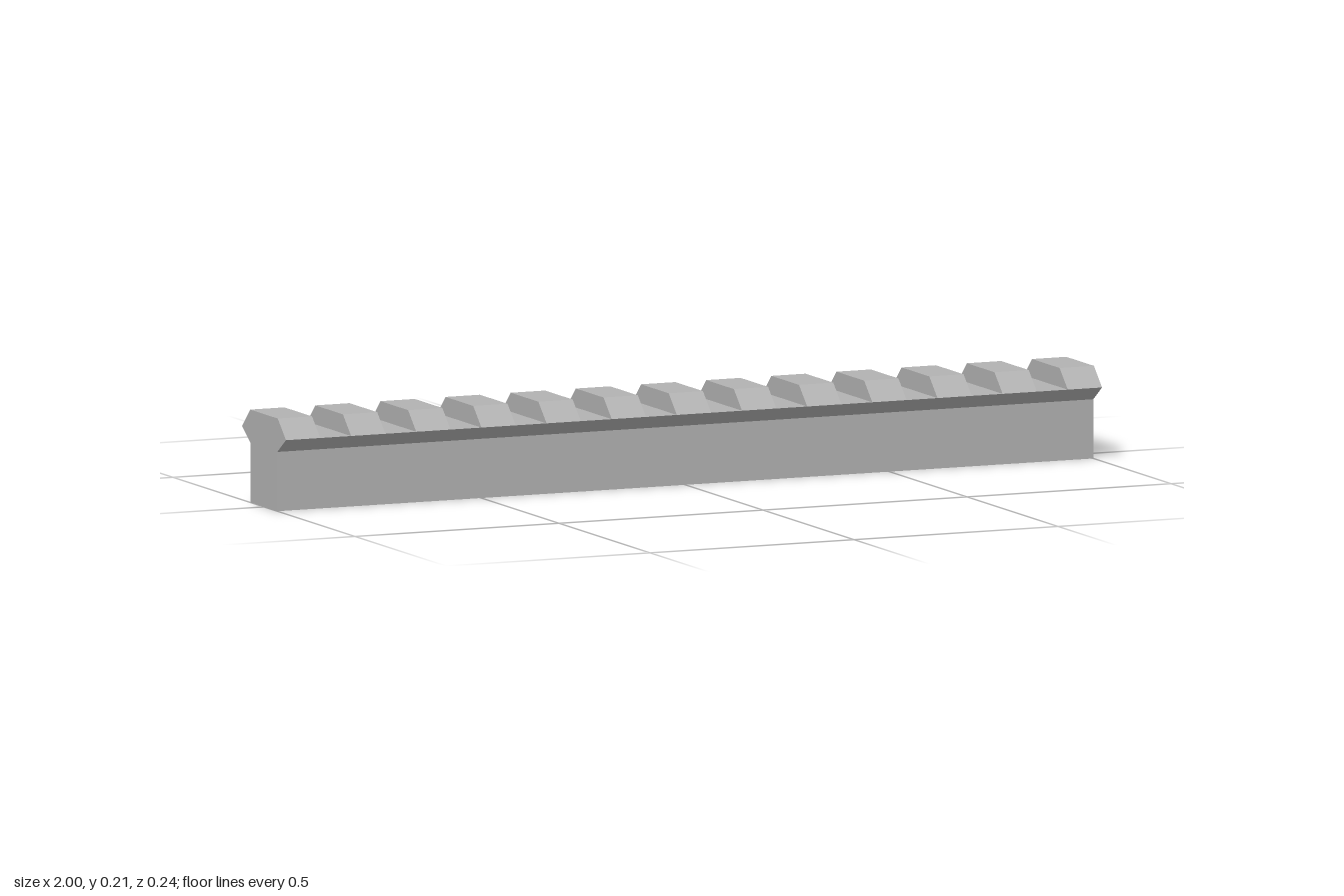
import * as THREE from 'three';

const LENGTH = 2, TEETH = 13, TOOTH = 0.084;

// Extrudes a (z, y) cross-section along x, centred on x = 0
function extrudeAlongX(points, length) {
  const shape = new THREE.Shape(points.map(([z, y]) => new THREE.Vector2(z, y)));
  const geometry = new THREE.ExtrudeGeometry(shape, { depth: length, bevelEnabled: false });
  geometry.translate(0, 0, -length / 2);
  geometry.rotateY(Math.PI / 2);
  return geometry;
}

// Completes half a cross-section with its mirror image
const mirrored = (half) => [...half, ...half.map(([z, y]) => [-z, y]).reverse()];

export function createModel() {
  const group = new THREE.Group();
  group.name = 'slottedRail';
  const metal = new THREE.MeshStandardMaterial({ color: 0xb2b2b2 });
  metal.name = 'grey metal';

  // Straight stem with flared shoulders
  const body = new THREE.Mesh(
    extrudeAlongX(mirrored([[0.073, 0], [0.073, 0.134], [0.121, 0.167]]), LENGTH), metal);
  body.name = 'railBody';
  group.add(body);

  // Evenly spaced bevelled teeth, flush with both ends
  const toothGeometry = extrudeAlongX(mirrored([[0.121, 0.167], [0.076, 0.21]]), TOOTH);
  const pitch = (LENGTH - TOOTH) / (TEETH - 1);
  for (let i = 0; i < TEETH; i++) {
    const tooth = new THREE.Mesh(toothGeometry, metal);
    tooth.name = `tooth${i + 1}`;
    tooth.position.x = (i - (TEETH - 1) / 2) * pitch;
    group.add(tooth);
  }
  return group;
}
